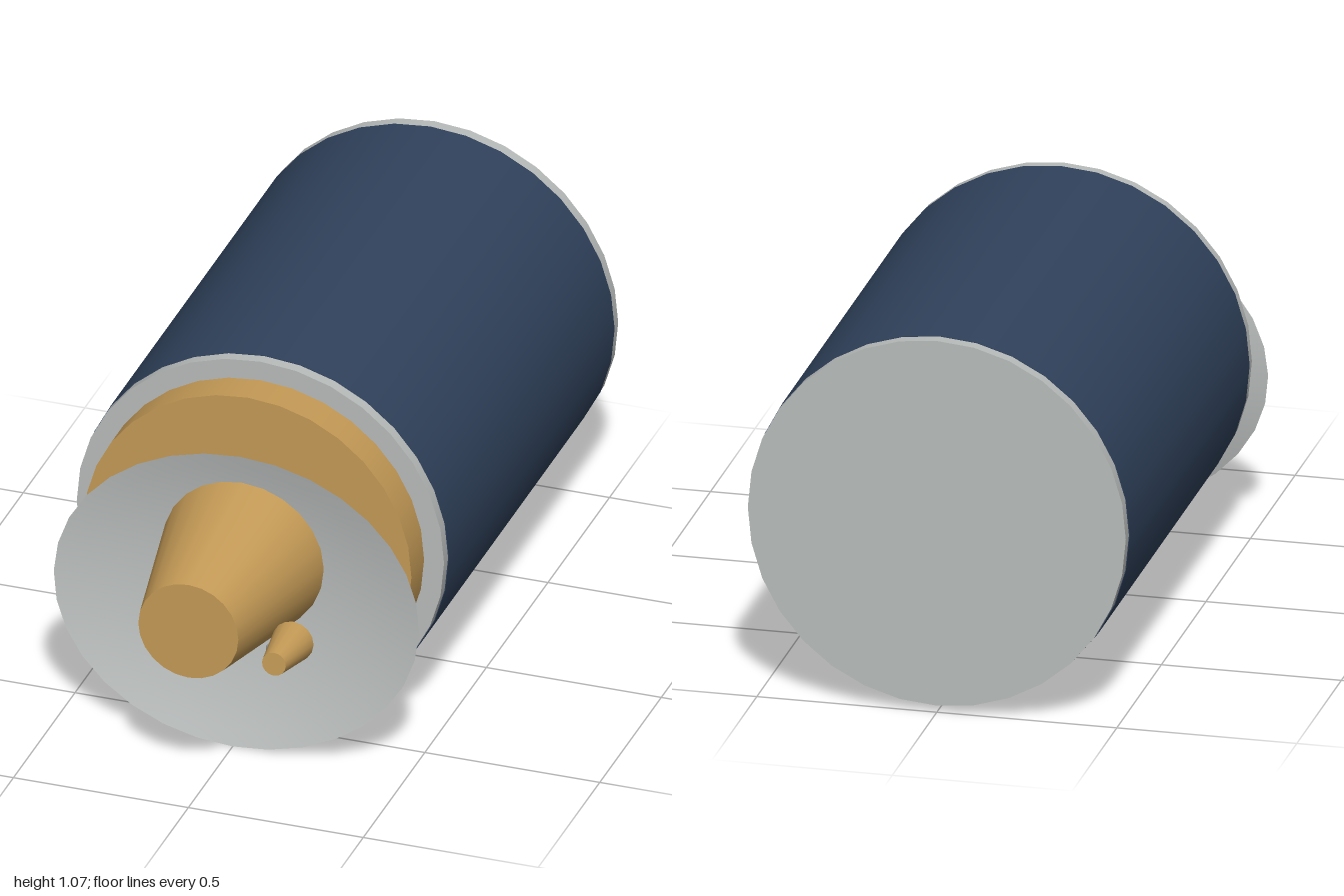
import * as THREE from 'three';

const mat = (name, color, side = THREE.FrontSide) => {
  const m = new THREE.MeshStandardMaterial({ color, side });
  m.name = name;
  return m;
};

export function createModel() {
  const model = new THREE.Group();
  model.name = 'satellite';
  const navy = mat('navy panel', 0x30425c);
  const grey = mat('light grey', 0xb8bcbb, THREE.DoubleSide);
  const gold = mat('gold foil', 0xc49a56);
  const axisY = 0.548;

  const add = (name, geometry, material) => {
    const mesh = new THREE.Mesh(geometry, material);
    mesh.name = name;
    model.add(mesh);
    return mesh;
  };

  // Round section along z between two depths
  const section = (name, material, z0, z1, r0, r1, sides = 32) => {
    const g = new THREE.CylinderGeometry(r1, r0, z1 - z0, sides).rotateX(Math.PI / 2);
    const mesh = add(name, g, material);
    mesh.position.set(0, axisY, (z0 + z1) / 2);
    return mesh;
  };

  // Drum with end rings, front deck and central horn
  section('rearRing', grey, -1, -0.965, 0.525, 0.525);
  section('drumBody', navy, -0.965, 0.382, 0.527, 0.527);
  section('frontRing', grey, 0.382, 0.415, 0.525, 0.525);
  section('frontDeck', gold, 0.415, 0.518, 0.468, 0.468);
  section('centralHorn', gold, 0.518, 1, 0.237, 0.143, 24);

  // Shallow elliptical dish tilted slightly upwards
  const tilt = THREE.MathUtils.degToRad(-4);
  const depth = 0.066;
  const profile = [];
  for (let i = 0; i <= 10; i++) {
    const t = i / 10;
    profile.push(new THREE.Vector2(0.522 * t, depth * (t * t - 1)));
  }
  const dish = add('dish', new THREE.LatheGeometry(profile, 32).rotateX(Math.PI / 2), grey);
  dish.scale.y = 0.432 / 0.522;
  dish.rotation.x = tilt;
  dish.position.set(0, 0.435, 0.61);

  // Feed horn, parallel to the dish axis
  const feed = add('feedHorn', new THREE.CylinderGeometry(0.034, 0.059, 0.155, 16).rotateX(Math.PI / 2), gold);
  feed.rotation.x = tilt;
  feed.position.set(0.22, 0.445, 0.853);

  // Strut from the feed horn through the dish to the deck
  const from = new THREE.Vector3(0.063, 0.255, 0.515);
  const to = new THREE.Vector3(0.205, 0.413, 0.79);
  const strut = add('feedStrut', new THREE.CylinderGeometry(0.019, 0.019, from.distanceTo(to), 8), grey);
  strut.position.copy(from).lerp(to, 0.5);
  strut.quaternion.setFromUnitVectors(new THREE.Vector3(0, 1, 0), to.clone().sub(from).normalize());

  return model;
}
